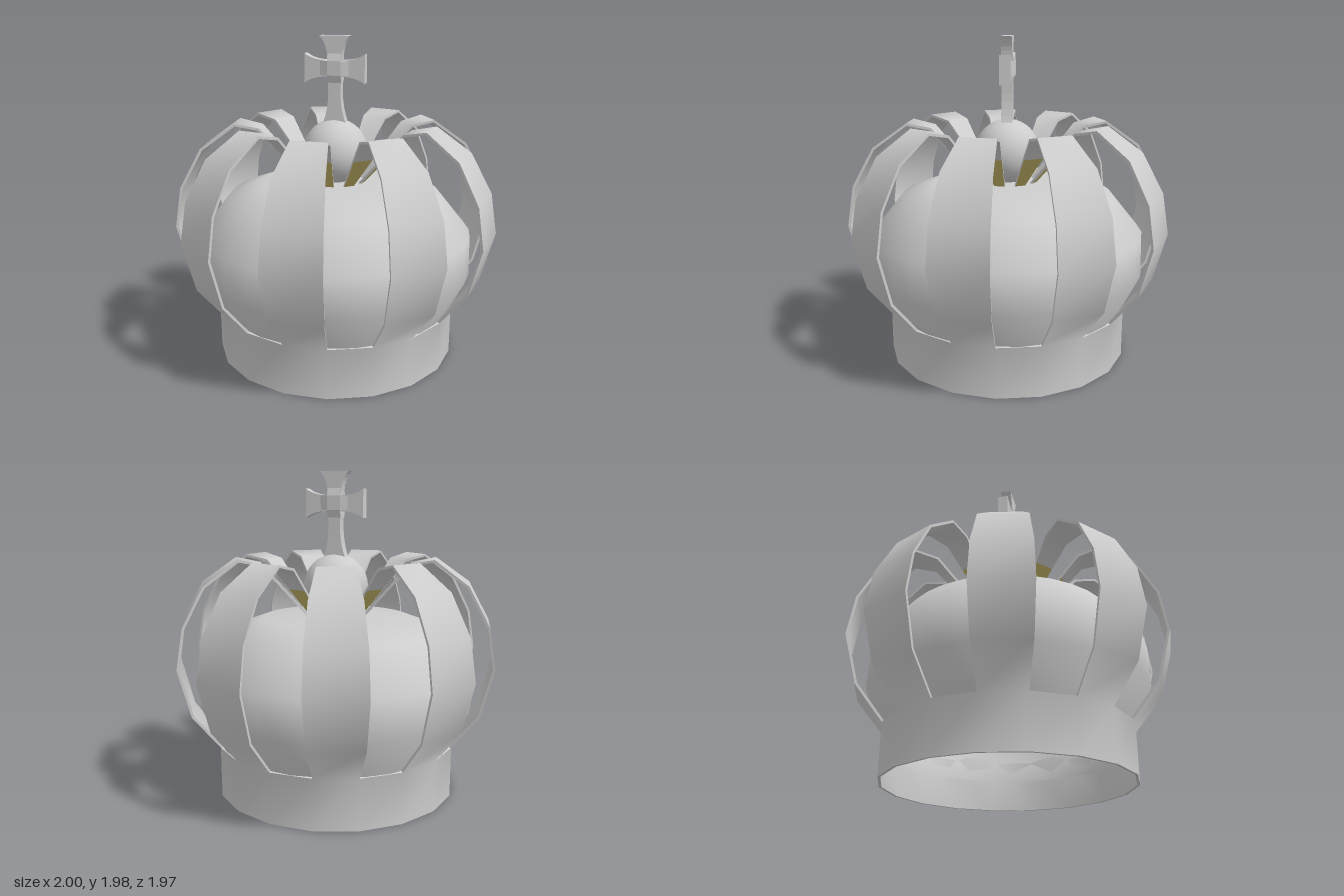
import * as THREE from 'three';

const grey = new THREE.MeshStandardMaterial({ color: 0xcccccc, side: THREE.DoubleSide });
grey.name = 'silverGrey';
const gold = new THREE.MeshStandardMaterial({ color: 0xc4b468, side: THREE.DoubleSide });
gold.name = 'paleGold';

const SEG = 18, THICK = 0.016;
// radius and height from the rim, over the arch and down to the orb
const PROFILE = [[0.75, 0], [0.75, 0.31], [0.92, 0.52], [1.0, 0.82], [0.96, 1.07],
  [0.83, 1.31], [0.62, 1.46], [0.47, 1.43], [0.35, 1.3], [0.17, 1.1]];

// profile moved inward along its normals
const INNER = PROFILE.map(([r, y], j) => {
  const a = PROFILE[Math.max(j - 1, 0)], b = PROFILE[Math.min(j + 1, PROFILE.length - 1)];
  const dr = b[0] - a[0], dy = b[1] - a[1], l = Math.hypot(dr, dy);
  if (j === 0) return [r - THICK, y];
  return [r - (dy / l) * THICK, y + (dr / l) * THICK];
});

const point = ([r, y], i) => {
  const a = ((i - 0.5) * 2 * Math.PI) / SEG;
  return [r * Math.sin(a), y, r * Math.cos(a)];
};

function mesh(name, geometry, material = grey) {
  const m = new THREE.Mesh(geometry, material);
  m.name = name;
  return m;
}

function geometryFrom(positions, index) {
  const g = new THREE.BufferGeometry();
  g.setAttribute('position', new THREE.Float32BufferAttribute(positions, 3));
  g.setIndex(index);
  g.computeVertexNormals();
  return g;
}

// full ring below, every second segment continues as an arch
function skin(profile, inside) {
  const positions = [], index = [], tips = [], n = profile.length;
  for (const p of profile) for (let i = 0; i < SEG; i++) positions.push(...point(p, i));
  for (let j = 0; j < n - 1; j++) {
    for (let i = 0; i < SEG; i++) {
      if (j > 0 && i % 2) continue;
      const k = (i + 1) % SEG;
      const a = j * SEG + i, b = j * SEG + k, c = b + SEG, d = a + SEG;
      const list = inside && j === n - 2 ? tips : index;
      list.push(...(inside ? [a, c, b, a, d, c] : [a, b, c, a, c, d]));
    }
  }
  const g = geometryFrom(positions, [...index, ...tips]);
  g.addGroup(0, index.length, 0);
  g.addGroup(index.length, tips.length, 1);
  return g;
}

// thin faces joining the outer and inner skins
function edges() {
  const positions = [], index = [];
  const strip = (j0, i0, j1, i1) => {
    const s = positions.length / 3;
    positions.push(...point(PROFILE[j0], i0), ...point(PROFILE[j1], i1),
      ...point(INNER[j1], i1), ...point(INNER[j0], i0));
    index.push(s, s + 1, s + 2, s, s + 2, s + 3);
  };
  const last = PROFILE.length - 1;
  for (let i = 0; i < SEG; i++) {
    strip(0, i + 1, 0, i);
    if (i % 2) { strip(1, i, 1, i + 1); continue; }
    strip(last, i, last, i + 1);
    for (let j = 1; j < last; j++) {
      strip(j + 1, i, j, i);
      strip(j, i + 1, j + 1, i + 1);
    }
  }
  return geometryFrom(positions, index);
}

function extrudeCentred(shape, depth) {
  const g = new THREE.ExtrudeGeometry(shape, { depth, bevelEnabled: false, curveSegments: 6 });
  return g.translate(0, 0, -depth / 2);
}

function createCross() {
  const cross = new THREE.Group();
  cross.name = 'cross';
  const cy = 1.79;
  // flared outline with a long foot
  const s = new THREE.Shape();
  s.moveTo(0.07, 1.46);
  s.quadraticCurveTo(0.025, 1.58, 0.042, cy - 0.05);
  s.quadraticCurveTo(0.13, cy - 0.05, 0.185, cy - 0.09);
  s.lineTo(0.185, cy + 0.085);
  s.quadraticCurveTo(0.13, cy + 0.045, 0.042, cy + 0.045);
  s.quadraticCurveTo(0.042, 1.93, 0.092, 1.98);
  s.lineTo(-0.092, 1.98);
  s.quadraticCurveTo(-0.042, 1.93, -0.042, cy + 0.045);
  s.quadraticCurveTo(-0.13, cy + 0.045, -0.185, cy + 0.085);
  s.lineTo(-0.185, cy - 0.09);
  s.quadraticCurveTo(-0.13, cy - 0.05, -0.042, cy - 0.05);
  s.quadraticCurveTo(-0.025, 1.58, -0.07, 1.46);
  s.closePath();
  cross.add(mesh('crossBody', extrudeCentred(s, 0.066)));

  // raised centre, sloping out along both bars
  const hub = new THREE.Shape([[0.09, -0.032], [0.09, 0.032], [0.042, 0.048], [-0.042, 0.048],
    [-0.09, 0.032], [-0.09, -0.032], [-0.042, -0.048], [0.042, -0.048]]
    .map(([x, y]) => new THREE.Vector2(x, y)));
  const across = mesh('crossHubAcross', extrudeCentred(hub, 0.086).rotateX(Math.PI / 2));
  const upright = mesh('crossHubUpright',
    extrudeCentred(hub, 0.084).rotateX(Math.PI / 2).rotateZ(Math.PI / 2));
  across.position.y = upright.position.y = cy;
  cross.add(across, upright);
  return cross;
}

export function createModel() {
  const crown = new THREE.Group();
  crown.name = 'crown';

  // band and arches
  const frame = new THREE.Group();
  frame.name = 'bandAndArches';
  frame.add(
    mesh('outerSkin', skin(PROFILE, false), [grey, gold]),
    mesh('innerSkin', skin(INNER, true), [grey, gold]),
    mesh('skinEdges', edges()),
  );
  crown.add(frame);

  // soft cap inside the arches, open below
  const cap = [[0.715, 0.19], [0.735, 0.31], [0.85, 0.54], [0.845, 0.78], [0.65, 1.02],
    [0.46, 1.09], [0, 1.1]].map(([r, y]) => new THREE.Vector2(r, y));
  crown.add(mesh('cap', new THREE.LatheGeometry(cap, 32)));

  // orb
  const orb = mesh('orb', new THREE.SphereGeometry(0.2, 32, 20));
  orb.position.y = 1.28;
  crown.add(orb, createCross());
  return crown;
}
